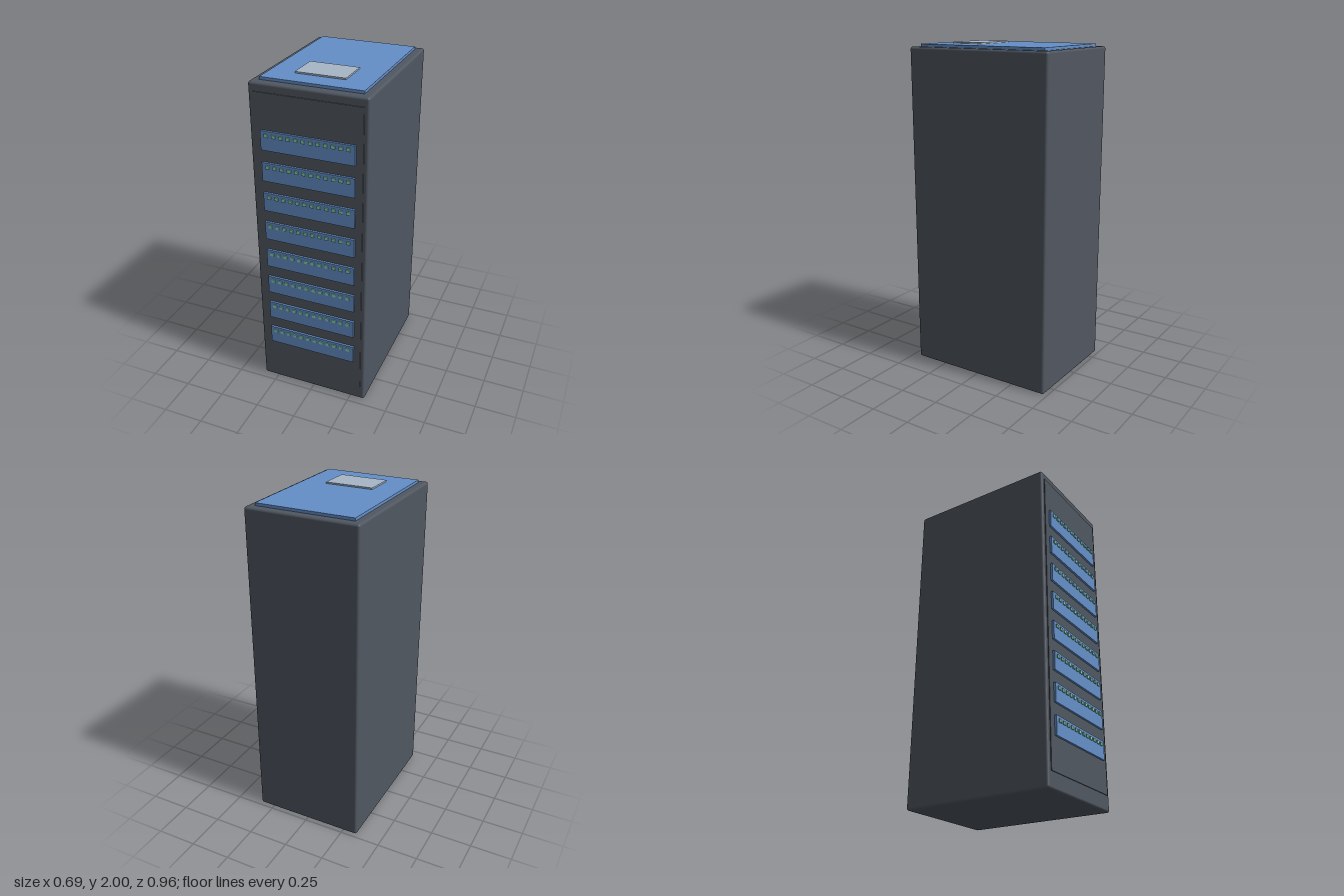
import * as THREE from 'three';
import { RoundedBoxGeometry } from 'three/addons/geometries/RoundedBoxGeometry.js';

function material(name, color) {
  const m = new THREE.MeshStandardMaterial({ color });
  m.name = name;
  return m;
}

export function createModel() {
  const group = new THREE.Group();
  const steel = material('dark grey steel', 0x505761);
  const blue = material('blue panel', 0x648fc8);
  const green = material('green light', 0x86d0ae);
  const silver = material('pale grey plate', 0xa6b6c6);

  // Box given by its limits on each axis
  function box(name, mat, [x0, x1], [y0, y1], [z0, z1], radius = 0) {
    const size = [x1 - x0, y1 - y0, z1 - z0];
    const geometry = radius
      ? new RoundedBoxGeometry(...size, 3, radius)
      : new THREE.BoxGeometry(...size);
    const mesh = new THREE.Mesh(geometry, mat);
    mesh.name = name;
    mesh.position.set((x0 + x1) / 2, (y0 + y1) / 2, (z0 + z1) / 2);
    group.add(mesh);
  }

  // Cabinet and its shallow front door
  box('cabinet', steel, [-0.343, 0.343], [0, 1.975], [-0.478, 0.454], 0.014);
  box('frontDoor', steel, [-0.316, 0.316], [0.095, 1.925], [0.44, 0.459]);

  // Roof panel with a raised plate
  box('roofPanel', blue, [-0.297, 0.297], [1.965, 1.991], [-0.433, 0.405]);
  box('roofPlate', silver, [-0.147, 0.147], [1.98, 2], [0.085, 0.283]);

  // Eight equipment units, each with a row of twelve lights
  for (let i = 0; i < 8; i++) {
    const y = 0.347 + i * 0.1873;
    box('unit' + (i + 1), blue, [-0.274, 0.274], [y - 0.057, y + 0.057], [0.45, 0.472]);
    for (let j = 0; j < 12; j++) {
      const x = (j - 5.5) * 0.0434;
      box('statusLight', green, [x - 0.011, x + 0.011], [y + 0.021, y + 0.041], [0.468, 0.478]);
    }
  }

  return group;
}
